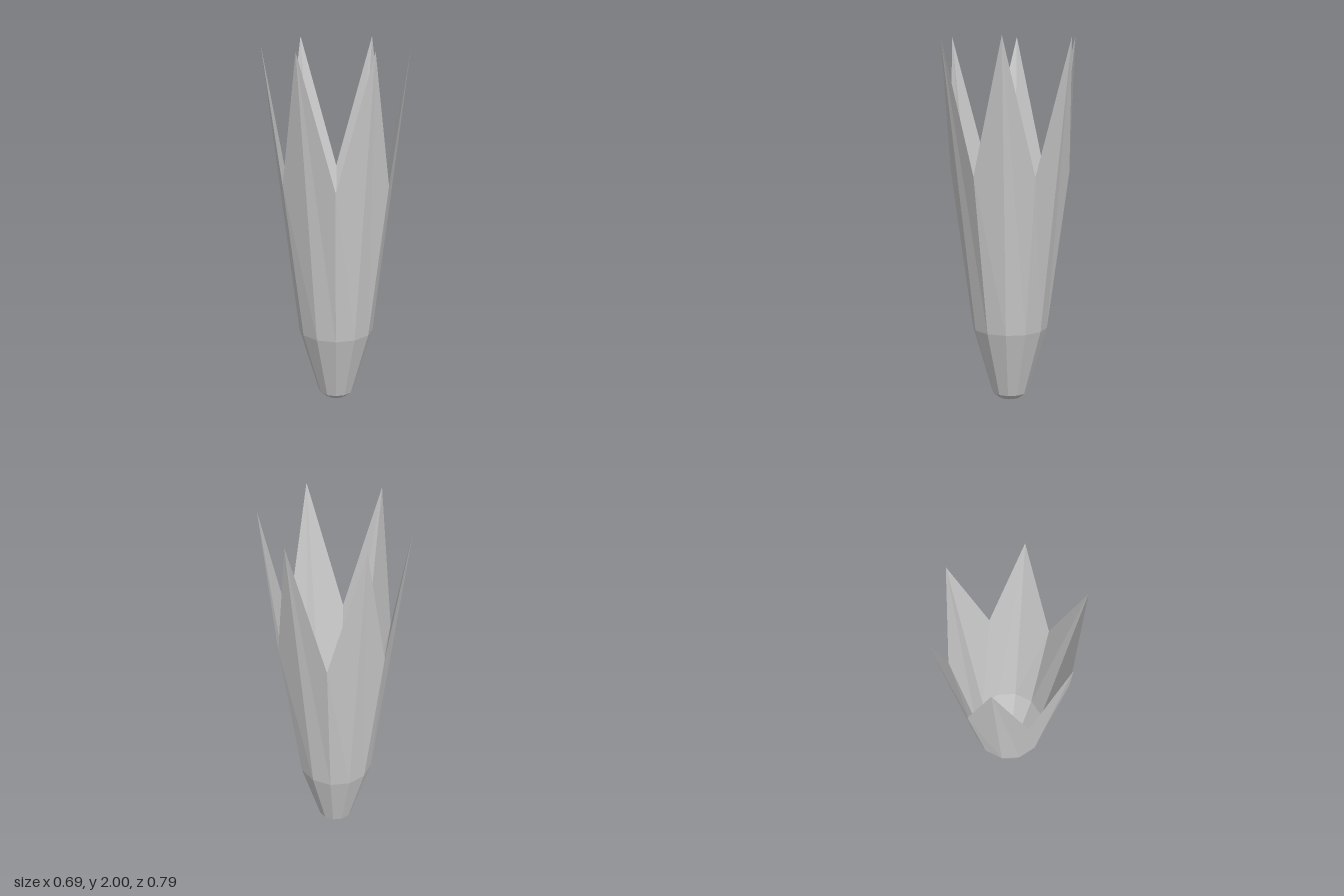
import * as THREE from 'three';

const SIDES = 12;
const TIP = { r: 0.397, y: 2 };
const NOTCH = { r: 0.325, y: 1.27 };

export function createModel() {
  const group = new THREE.Group();
  group.name = 'pointedCup';
  const material = new THREE.MeshStandardMaterial({
    color: 0xcccccc, flatShading: true, side: THREE.DoubleSide,
  });

  // Closed foot, narrow bevel, flaring bowl and rim
  const profile = [[0, 0], [0.06, 0], [0.098, 0.03], [0.207, 0.4], [TIP.r, TIP.y]]
    .map(([r, y]) => new THREE.Vector2(r, y));
  const geometry = new THREE.LatheGeometry(profile, SIDES);

  // Every second rim corner drops to a notch, leaving six pointed petals
  const pos = geometry.attributes.position;
  for (let i = 1; i < SIDES; i += 2) {
    const a = (i / SIDES) * Math.PI * 2;
    const rim = i * profile.length + profile.length - 1;
    pos.setXYZ(rim, Math.sin(a) * NOTCH.r, NOTCH.y, Math.cos(a) * NOTCH.r);
  }
  geometry.computeVertexNormals();

  const cup = new THREE.Mesh(geometry, material);
  cup.name = 'petalCup';
  group.add(cup);
  return group;
}
